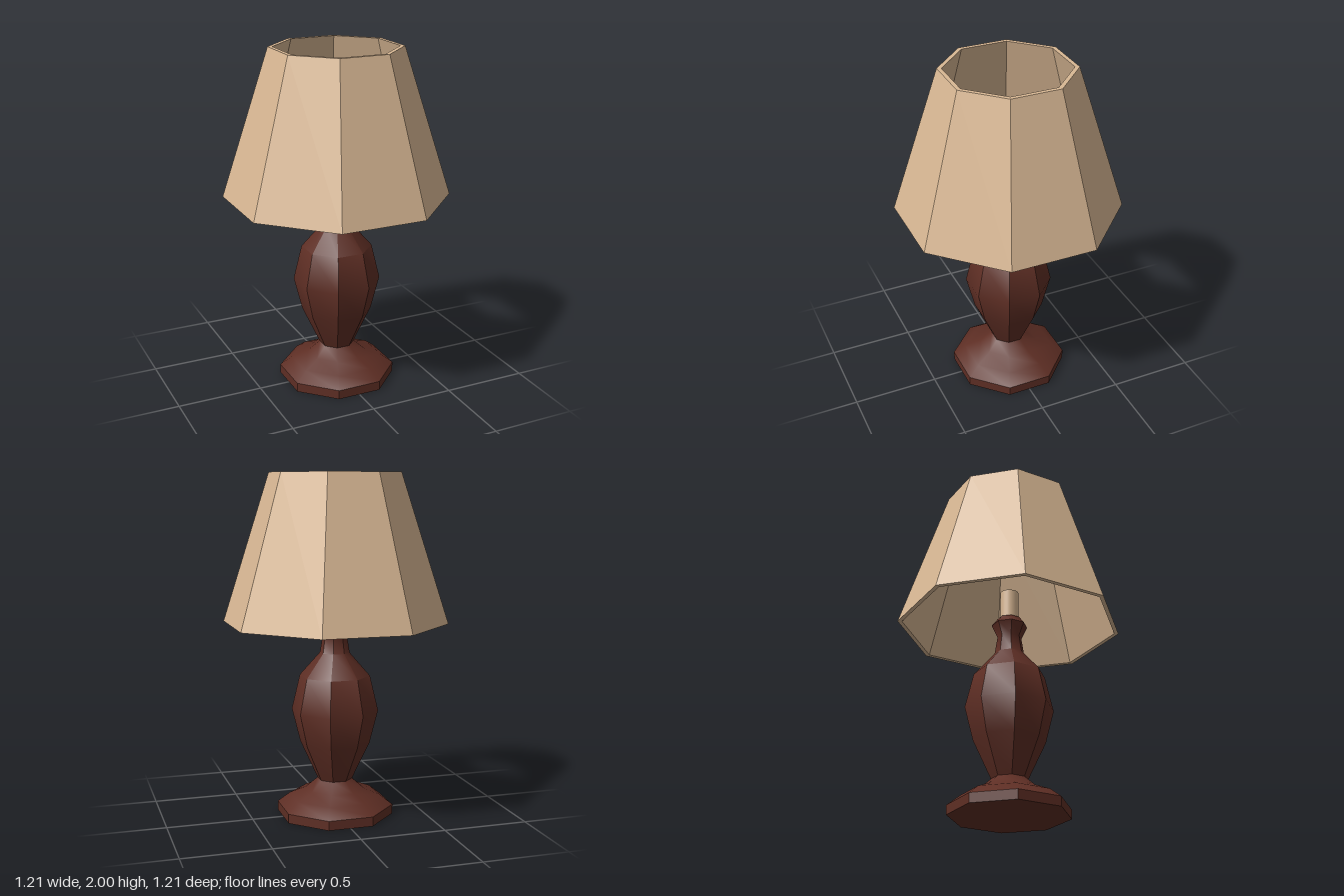
import * as THREE from 'three';
import { toCreasedNormals } from 'three/addons/utils/BufferGeometryUtils.js';

// Octagonal turned solid; profile points are [distance to the flat side, height]
function octagon(profile, crease) {
  const points = profile.map(([r, y]) => new THREE.Vector2(r / Math.cos(Math.PI / 8), y));
  const geometry = new THREE.LatheGeometry(points, 8, Math.PI / 8);
  return toCreasedNormals(geometry, THREE.MathUtils.degToRad(crease));
}

export function createModel() {
  const wood = new THREE.MeshStandardMaterial({ color: 0x5e2e24 });
  wood.name = 'dark wood';
  const fabric = new THREE.MeshStandardMaterial({ color: 0xd9b894 });
  fabric.name = 'beige fabric';

  const lamp = new THREE.Group();
  lamp.name = 'tableLamp';
  const add = (name, geometry, material) => {
    const mesh = new THREE.Mesh(geometry, material);
    mesh.name = name;
    lamp.add(mesh);
    return mesh;
  };

  // Stepped foot
  add('foot', octagon([
    [0, 0], [0.317, 0], [0.317, 0.055], [0.25, 0.11],
    [0.16, 0.15], [0.095, 0.21], [0, 0.21],
  ], 40), wood);

  // Vase-shaped stem with flared neck
  add('stem', octagon([
    [0.095, 0.21], [0.19, 0.43], [0.235, 0.625], [0.19, 0.83],
    [0.08, 0.965], [0.065, 1.07], [0.097, 1.145], [0.065, 1.19], [0, 1.19],
  ], 40), wood);

  // Round candle-like bulb holder
  const bulb = add('bulbHolder', new THREE.CylinderGeometry(0.054, 0.054, 0.18, 24), fabric);
  bulb.position.y = 1.275;

  // Shade: outer wall, top rim, inner wall, bottom rim
  add('shade', octagon([
    [0.605, 1.14], [0.35, 2], [0.326, 2], [0.581, 1.14], [0.605, 1.14],
  ], 20), fabric);

  return lamp;
}
